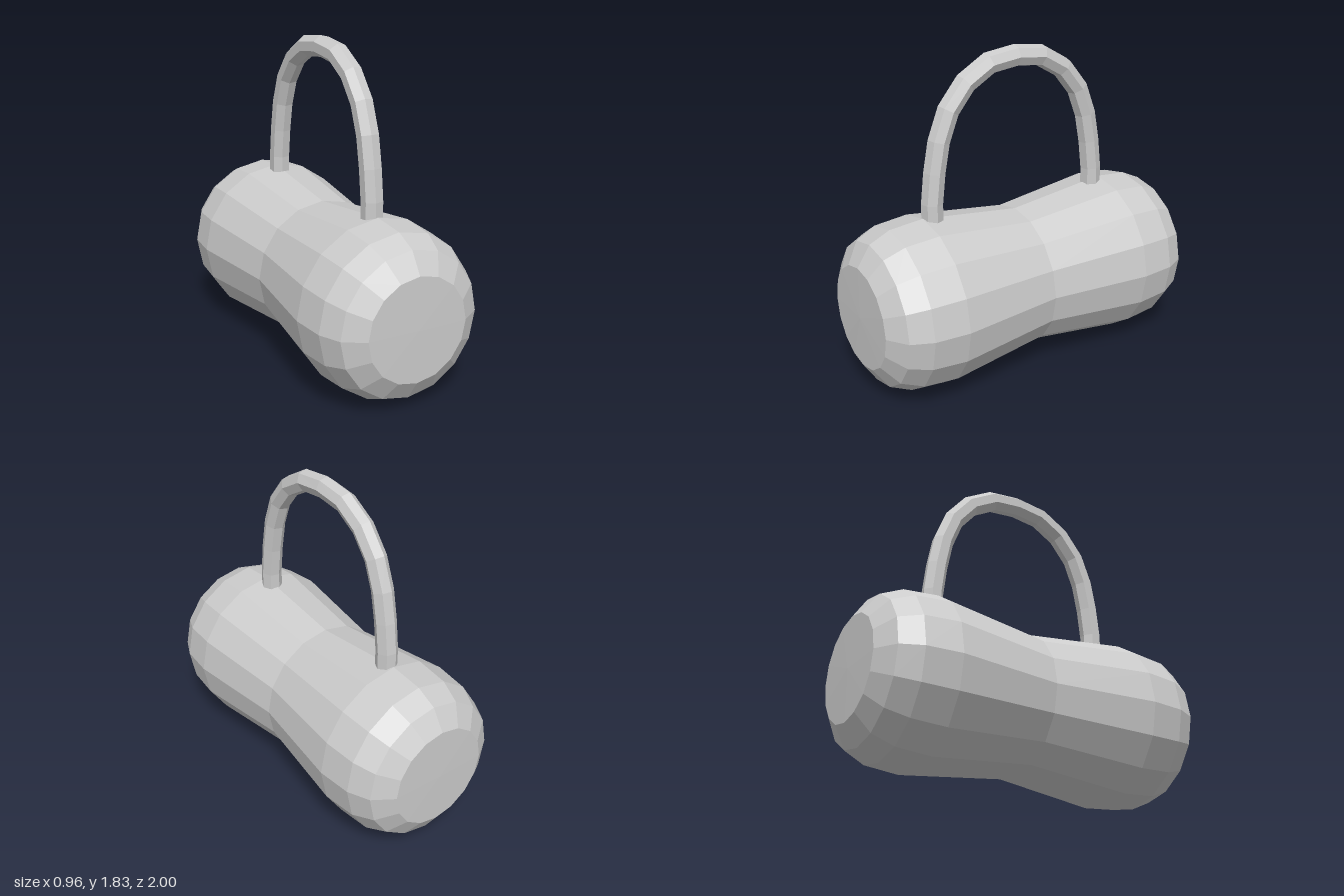
import * as THREE from 'three';

export function createModel() {
  const model = new THREE.Group();
  const material = new THREE.MeshStandardMaterial({ color: 0xcccccc, flatShading: true });
  const add = (name, geometry) => {
    const mesh = new THREE.Mesh(geometry, material);
    mesh.name = name;
    model.add(mesh);
    return mesh;
  };

  // Waisted barrel lying along z: half profile as [radius, z], mirrored
  const half = [[0, 1], [0.29, 0.995], [0.405, 0.92], [0.46, 0.8], [0.478, 0.6]];
  const profile = [
    ...half.map(([r, z]) => new THREE.Vector2(r, -z)),
    new THREE.Vector2(0.405, 0),
    ...half.slice().reverse().map(([r, z]) => new THREE.Vector2(r, z)),
  ];
  const body = new THREE.LatheGeometry(profile, 16).rotateX(Math.PI / 2);
  add('body', body).position.y = 0.478;

  // Arched handle rising from the top of the barrel: half path as [z, y], mirrored
  const arch = [[0.54, 0.86], [0.535, 1.08], [0.455, 1.47], [0.33, 1.65], [0.17, 1.747]];
  const path = new THREE.CatmullRomCurve3([
    ...arch.map(([z, y]) => new THREE.Vector3(0, y, z)),
    new THREE.Vector3(0, 1.767, 0),
    ...arch.slice().reverse().map(([z, y]) => new THREE.Vector3(0, y, -z)),
  ]);
  add('handle', new THREE.TubeGeometry(path, 14, 0.061, 7, false));

  return model;
}
